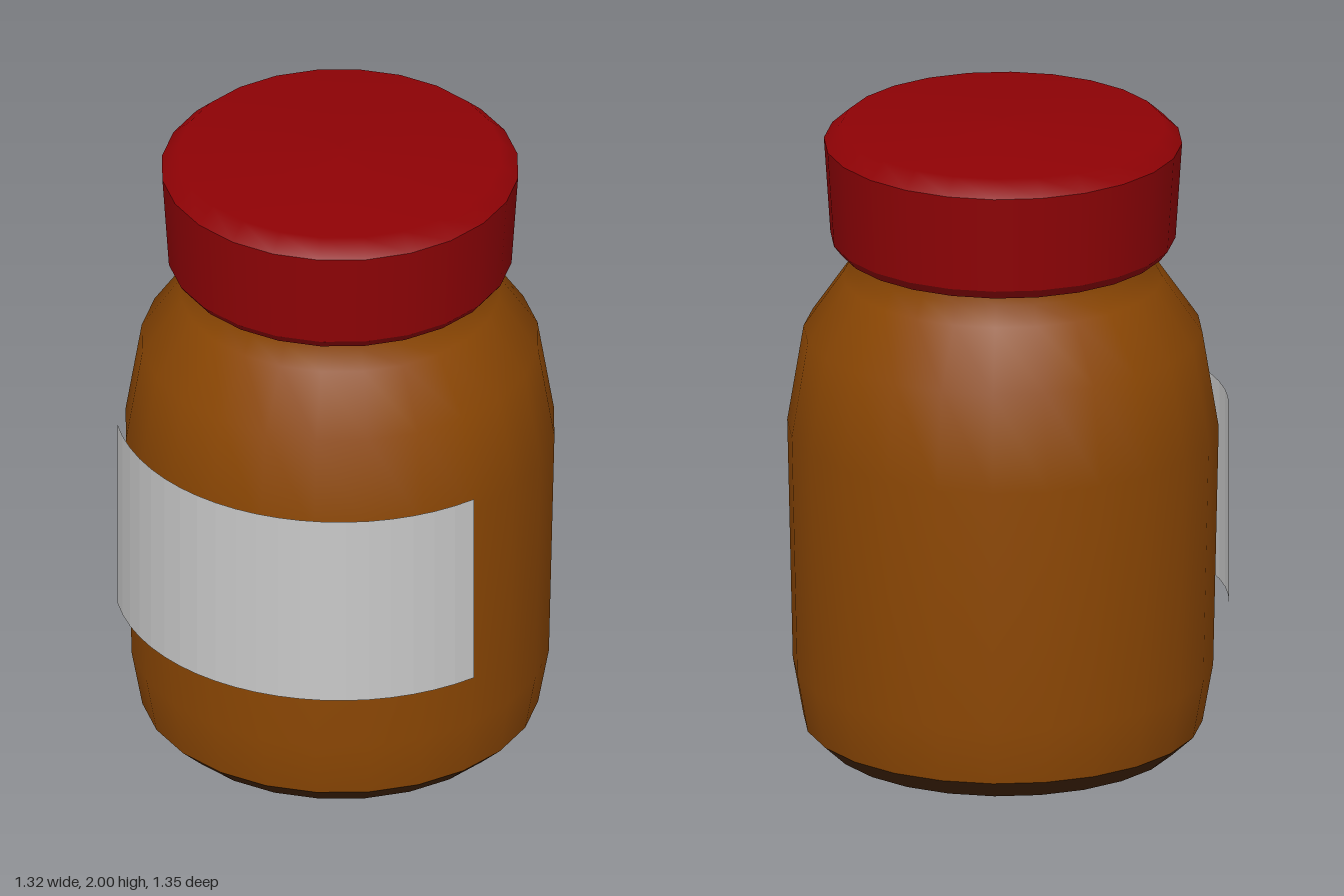
import * as THREE from 'three';

const SIDES = 24;
const AXIS_Z = -0.015; // the jar sits slightly back, balancing the label

function material(name, color) {
  const m = new THREE.MeshStandardMaterial({ color });
  m.name = name;
  return m;
}

const glass = material('amber glass', 0x8c4703);
const darkGlass = material('dark brown base', 0x43240a);
const red = material('red lid', 0x8e0205);
const paper = material('grey paper', 0xc8c8c8);
paper.side = THREE.DoubleSide;
paper.flatShading = true;

// Turned band from [radius, height] points, listed bottom to top;
// separate bands keep the edges between them sharp
function turned(name, points, mat) {
  const profile = points.map(([r, y]) => new THREE.Vector2(r, y));
  const mesh = new THREE.Mesh(new THREE.LatheGeometry(profile, SIDES), mat);
  mesh.name = name;
  return mesh;
}

export function createModel() {
  const model = new THREE.Group();
  model.name = 'jar';

  // Bottle: dark base with bevel, then rounded wall, shoulder and neck
  const bottle = new THREE.Group();
  bottle.name = 'bottle';
  bottle.add(
    turned('baseBottom', [[0, 0], [0.54, 0]], darkGlass),
    turned('baseBevel', [[0.54, 0], [0.61, 0.065]], darkGlass),
    turned('wall', [
      [0.61, 0.065], [0.643, 0.25], [0.66, 1.02], [0.61, 1.325],
      [0.49, 1.5], [0.457, 1.56], [0.457, 1.61],
    ], glass),
  );

  // Lid: underside, flared skirt and slightly domed top with a soft rim
  const lid = new THREE.Group();
  lid.name = 'lid';
  lid.add(
    turned('lidUnderside', [[0, 1.6], [0.505, 1.6]], red),
    turned('lidLowerBevel', [[0.505, 1.6], [0.528, 1.63]], red),
    turned('lidSkirt', [[0.528, 1.63], [0.548, 1.935]], red),
    turned('lidTop', [[0.548, 1.935], [0.495, 1.983], [0, 2]], red),
  );

  // Label: curved sheet standing just off the front of the wall
  const halfAngle = THREE.MathUtils.degToRad(58.2);
  const label = new THREE.Mesh(
    new THREE.CylinderGeometry(0.69, 0.69, 0.64, 20, 1, true, -halfAngle, 2 * halfAngle),
    paper,
  );
  label.name = 'label';
  label.position.y = 0.765;

  for (const part of [bottle, lid, label]) {
    part.position.z = AXIS_Z;
    model.add(part);
  }
  return model;
}
